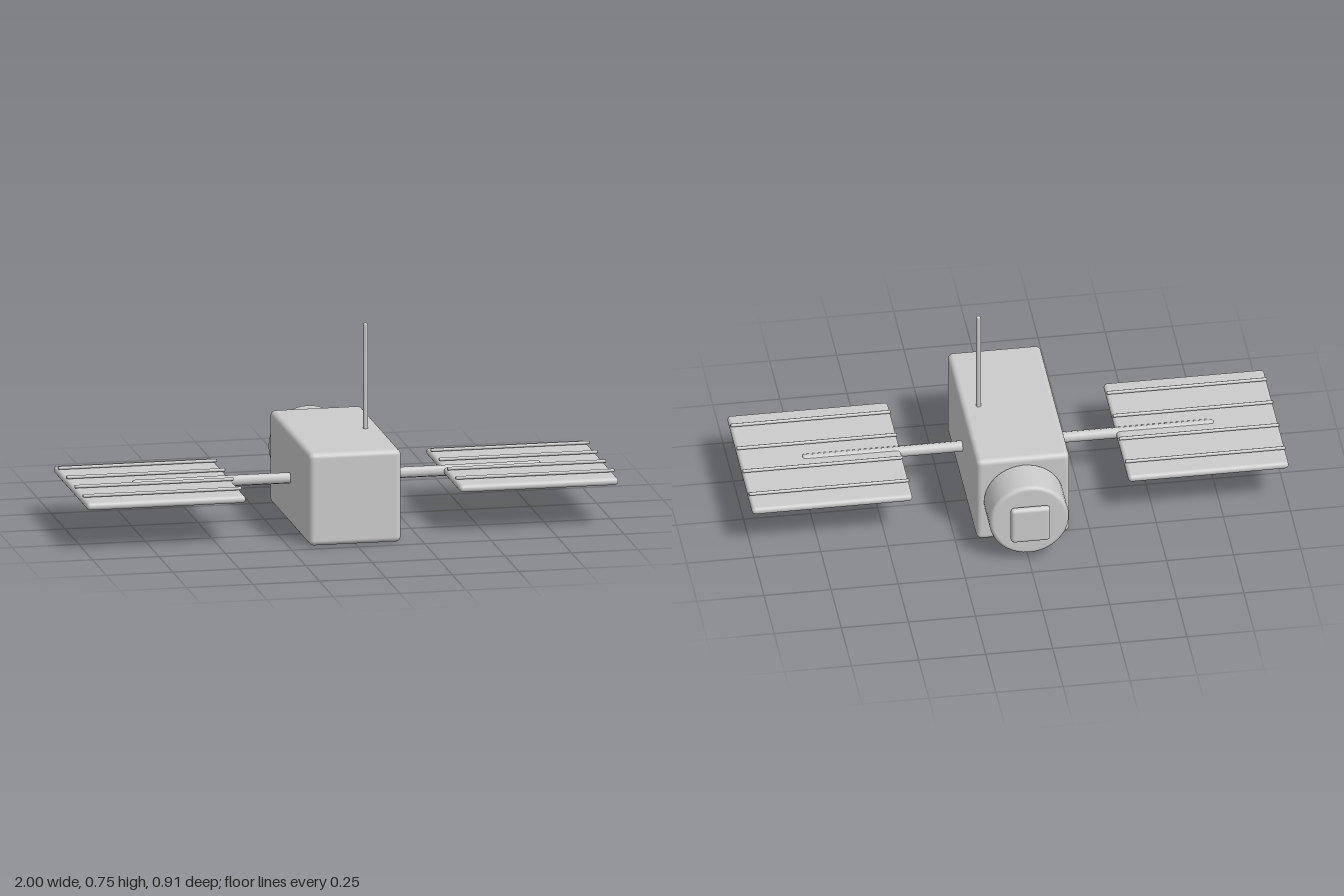
import * as THREE from 'three';
import { RoundedBoxGeometry } from 'three/addons/geometries/RoundedBoxGeometry.js';

const material = new THREE.MeshStandardMaterial({ color: 0xcccccc });
const AXIS_Y = 0.177;   // height of the strut, panels and rear drum
const STRUT_Z = 0.097;  // strut and antenna share this depth

function add(parent, name, geometry, x, y, z) {
  const mesh = new THREE.Mesh(geometry, material);
  mesh.name = name;
  mesh.position.set(x, y, z);
  parent.add(mesh);
  return mesh;
}

// Solid rod along y with rounded rims
function roundedRod(radius, length, bevel, sides) {
  const h = length / 2;
  const points = [new THREE.Vector2(0, -h)];
  for (const end of [-1, 1]) {
    for (let i = 0; i <= 4; i++) {
      const a = (end < 0 ? i - 4 : i) * Math.PI / 8;
      points.push(new THREE.Vector2(
        radius - bevel + Math.cos(a) * bevel,
        end * (h - bevel) + Math.sin(a) * bevel));
    }
  }
  points.push(new THREE.Vector2(0, h));
  return new THREE.LatheGeometry(points, sides);
}

export function createModel() {
  const model = new THREE.Group();
  model.name = 'satellite';

  // Main bus
  add(model, 'body', new RoundedBoxGeometry(0.346, 0.35, 0.724, 4, 0.02), -0.002, 0.176, 0.097);

  // Rear drum and the square plate behind it
  const drum = roundedRod(0.148, 0.16, 0.016, 40).rotateX(Math.PI / 2);
  add(model, 'rearDrum', drum, -0.002, AXIS_Y, -0.341);
  add(model, 'rearPlate', new RoundedBoxGeometry(0.147, 0.147, 0.03, 4, 0.0145), -0.002, AXIS_Y, -0.441);

  // Antenna mast on the roof
  add(model, 'antenna', roundedRod(0.009, 0.42, 0.006, 10), 0.11, 0.54, STRUT_Z);

  // Solar wings, one on each side
  for (const [side, label] of [[1, 'left'], [-1, 'right']]) {
    const wing = new THREE.Group();
    wing.name = label + 'Wing';
    model.add(wing);

    const strut = roundedRod(0.021, 0.62, 0.01, 8).rotateZ(Math.PI / 2);
    add(wing, label + 'Strut', strut, side * 0.457, AXIS_Y, STRUT_Z);

    add(wing, label + 'Panel', new RoundedBoxGeometry(0.598, 0.028, 0.62, 4, 0.0135),
      side * 0.701, AXIS_Y, 0.095);

    // Thin ribs just above the panel
    for (let i = 0; i < 4; i++) {
      const rib = roundedRod(0.0065, 0.598, 0.003, 8).rotateZ(Math.PI / 2);
      add(wing, label + 'Rib' + (i + 1), rib, side * 0.701, 0.201, 0.322 - i * 0.15);
    }
  }
  return model;
}
